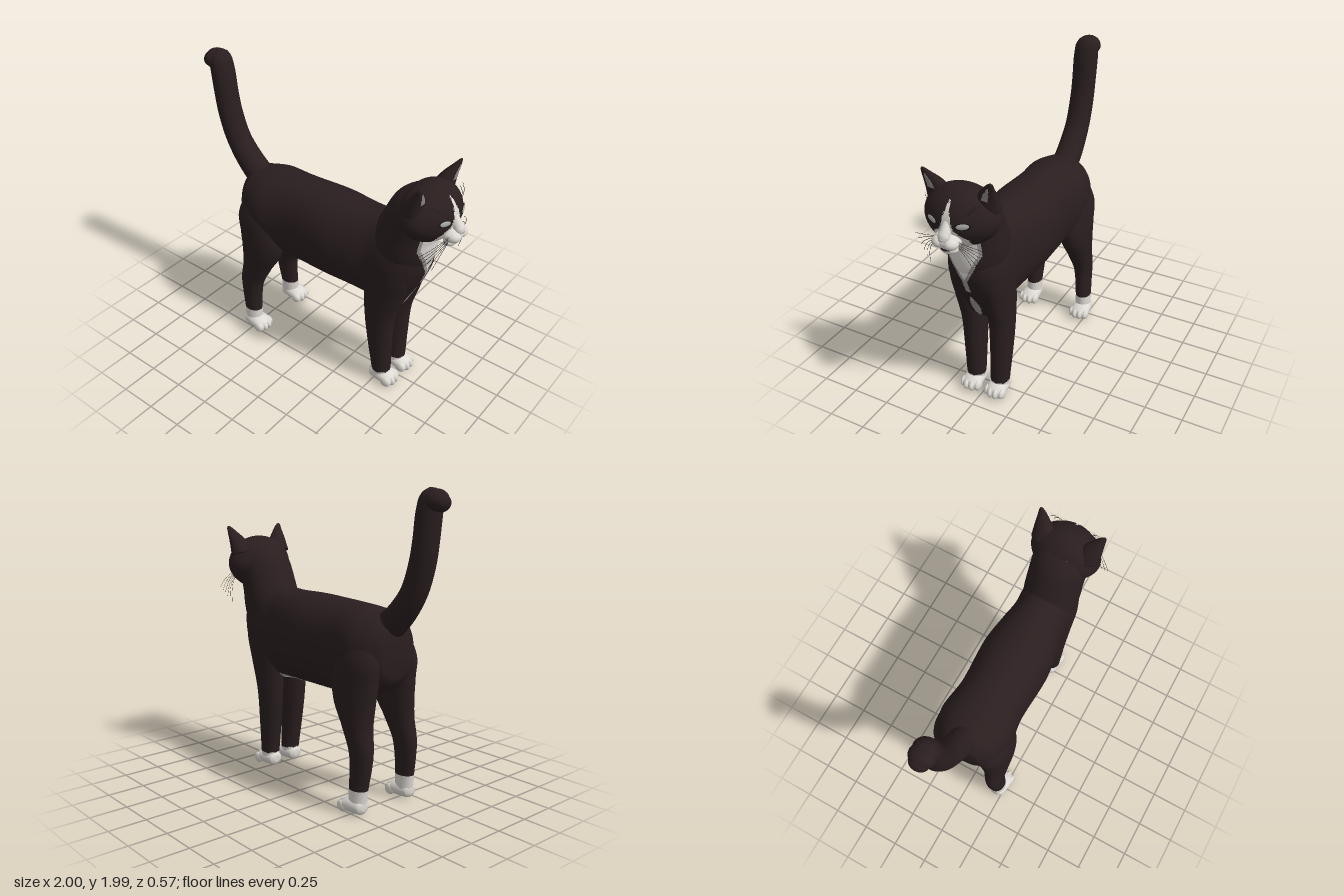
import * as THREE from 'three';
import { mergeVertices } from 'three/addons/utils/BufferGeometryUtils.js';

const mat = (name, color) => {
  const m = new THREE.MeshStandardMaterial({ color });
  m.name = name;
  return m;
};

export function createModel() {
  const cat = new THREE.Group();
  cat.name = 'cat';
  const fur = mat('dark fur', 0x2a1e1f), white = mat('white fur', 0xdcd8d2), grey = mat('grey fur', 0x9c9794);
  const eyeMat = mat('eye', 0xa9aaa2), earMat = mat('inner ear', 0x8f8885);
  const noseMat = mat('nose', 0xb9aaa6), darkMat = mat('mouth and whiskers', 0x1c1818);
  const coat = [fur, white, grey];

  const add = (name, geo, material) => {
    const m = new THREE.Mesh(geo, material);
    m.name = name;
    cat.add(m);
    return m;
  };

  // Sort triangles into material groups by a rule on their centres
  const paint = (geo, rule) => {
    const p = geo.attributes.position, idx = geo.index.array, sets = [[], [], []];
    for (let i = 0; i < idx.length; i += 3) {
      const t = [idx[i], idx[i + 1], idx[i + 2]];
      const c = ['getX', 'getY', 'getZ'].map(g => t.reduce((s, k) => s + p[g](k), 0) / 3);
      sets[Number(rule(...c))].push(...t);
    }
    geo.setIndex(sets.flat());
    geo.clearGroups();
    let start = 0;
    sets.forEach((set, i) => {
      if (set.length) geo.addGroup(start, set.length, i);
      start += set.length;
    });
    return geo;
  };

  // Smooth skin over sections [x, y, z, half width in z, half depth in the xy plane];
  // sections follow the path unless a fixed axis is given
  const loft = (sections, rings, sides, axis = null, pow = 1) => {
    const path = new THREE.CatmullRomCurve3(sections.map(s => new THREE.Vector3(s[0], s[1], s[2])));
    const size = new THREE.CatmullRomCurve3(sections.map(s => new THREE.Vector3(s[3], s[4], 0)));
    const pos = [], idx = [];
    const bend = v => Math.sign(v) * Math.abs(v) ** pow;
    for (let i = -1; i <= rings + 1; i++) {
      const t = Math.min(Math.max(i / rings, 0), 1);
      const c = path.getPoint(t), r = size.getPoint(t), d = axis || path.getTangent(t);
      const len = Math.hypot(d.x, d.y), cap = i < 0 || i > rings ? 0 : 1;
      for (let j = 0; j < sides; j++) {
        const a = j / sides * Math.PI * 2;
        const h = cap * r.y * bend(Math.sin(a)), w = cap * r.x * bend(Math.cos(a));
        pos.push(c.x - d.y / len * h, c.y + d.x / len * h, c.z + w);
      }
    }
    for (let i = 0; i < rings + 2; i++) for (let j = 0; j < sides; j++) {
      const a = i * sides + j, b = i * sides + (j + 1) % sides;
      idx.push(a, a + sides, b, b, a + sides, b + sides);
    }
    const g = new THREE.BufferGeometry();
    g.setAttribute('position', new THREE.Float32BufferAttribute(pos, 3));
    g.setIndex(idx);
    g.computeVertexNormals();
    return g;
  };
  const alongX = new THREE.Vector3(1, 0, 0), down = new THREE.Vector3(0, -1, 0);

  const ball = (name, c, r, material) => {
    const m = add(name, new THREE.SphereGeometry(1, 20, 14), material);
    m.position.set(...c);
    m.scale.set(...r);
    return m;
  };

  // White bib with grey fringe, grey chest strip and pale belly
  const bib = (x, y, z) => {
    const w = Math.abs(z);
    if (y > 0.98) {
      const edge = Math.min(0.125, 0.02 + (y - 0.98) * 0.5);
      if (x < 0.67 || w > edge) return 0;
      return w > edge - 0.022 ? 2 : 1;
    }
    if (y > 0.88) return x > 0.6 && w < 0.018 ? 2 : 0;
    return x > 0.55 && y > 0.61 && y < 0.84 && w < 0.032 * Math.sin((y - 0.61) / 0.23 * Math.PI) ? 2 : 0;
  };
  const belly = (x, y, z) => {
    const w = Math.abs(z);
    if (x < -0.26 || x > 0.4 || y > 0.8 || w > 0.11) return 0;
    return w > 0.085 ? 2 : 1;
  };

  // Torso: [x, top, bottom, half width]
  const torso = [
    [-0.652, 1.1, 0.96, 0.04], [-0.63, 1.18, 0.84, 0.14], [-0.56, 1.235, 0.75, 0.21],
    [-0.42, 1.265, 0.71, 0.25], [-0.2, 1.28, 0.68, 0.225], [0.08, 1.288, 0.68, 0.238],
    [0.3, 1.285, 0.67, 0.212], [0.42, 1.295, 0.65, 0.19], [0.54, 1.31, 0.61, 0.195],
    [0.61, 1.3, 0.63, 0.192], [0.67, 1.27, 0.74, 0.175], [0.73, 1.23, 0.86, 0.14],
    [0.77, 1.17, 0.96, 0.09], [0.785, 1.1, 1.02, 0.03],
  ].map(([x, t, b, w]) => [x, (t + b) / 2, 0, w, (t - b) / 2]);
  add('torso', paint(loft(torso, 150, 104, alongX, 0.92), (x, y, z) => bib(x, y, z) || belly(x, y, z)), coat);
  ball('bellyTuft', [-0.215, 0.69, 0], [0.07, 0.045, 0.06], white);

  // Neck
  add('neck', paint(loft([
    [0.52, 0.98, 0, 0.15, 0.18], [0.595, 1.13, 0, 0.185, 0.21], [0.64, 1.28, 0, 0.185, 0.185],
    [0.685, 1.4, 0, 0.183, 0.168], [0.74, 1.48, 0, 0.17, 0.135],
  ], 90, 104), bib), coat);

  // Tail with a bent tip
  add('tail', loft([
    [-0.53, 1.13, 0, 0.09, 0.1], [-0.66, 1.25, 0, 0.088, 0.088], [-0.76, 1.39, 0, 0.083, 0.08],
    [-0.82, 1.56, 0, 0.082, 0.078], [-0.845, 1.7, 0, 0.082, 0.075], [-0.86, 1.83, 0, 0.084, 0.073],
    [-0.875, 1.92, 0, 0.08, 0.068], [-0.882, 1.965, 0, 0.06, 0.05], [-0.886, 1.99, 0, 0.025, 0.02],
  ], 50, 36), fur);
  ball('tailTip', [-0.915, 1.922, 0], [0.068, 0.066, 0.08], fur);
  ball('tailTip', [-0.95, 1.91, 0], [0.05, 0.052, 0.062], fur);

  // Legs and paws
  const paw = (name, x, z) => {
    add(name, loft([
      [x - 0.1, 0.055, z, 0.025, 0.025], [x - 0.085, 0.052, z, 0.05, 0.046], [x - 0.02, 0.054, z, 0.066, 0.054],
      [x + 0.04, 0.048, z, 0.069, 0.047], [x + 0.08, 0.038, z, 0.056, 0.032], [x + 0.09, 0.034, z, 0.03, 0.015],
    ], 24, 28, alongX), white);
    [-0.053, -0.019, 0.019, 0.053].forEach((dz, i) => {
      const out = i === 1 || i === 2 ? 0.066 : 0.048;
      ball(name + 'Toe', [x + out, 0.038, z + dz], [0.04, 0.037, 0.021], white);
    });
  };
  // Leg sections: y, x, z, half width, half depth
  const front = [
    [1.12, 0.57, 0.09, 0.07, 0.1], [0.95, 0.57, 0.105, 0.087, 0.155], [0.75, 0.535, 0.103, 0.084, 0.14],
    [0.55, 0.513, 0.1, 0.078, 0.107], [0.3, 0.522, 0.095, 0.07, 0.084], [0.12, 0.535, 0.09, 0.064, 0.067],
    [0.03, 0.538, 0.09, 0.06, 0.06],
  ];
  const back = [
    [1.15, -0.46, 0.1, 0.05, 0.07], [1.05, -0.46, 0.13, 0.1, 0.14], [0.93, -0.455, 0.155, 0.11, 0.172],
    [0.8, -0.435, 0.162, 0.108, 0.175], [0.68, -0.442, 0.17, 0.098, 0.157], [0.55, -0.478, 0.18, 0.08, 0.117],
    [0.4, -0.525, 0.19, 0.063, 0.092], [0.3, -0.53, 0.195, 0.057, 0.08], [0.16, -0.52, 0.203, 0.054, 0.068],
    [0.03, -0.515, 0.207, 0.055, 0.062],
  ];
  for (const [s, side] of [[1, 'left'], [-1, 'right']]) {
    const sections = list => list.map(([y, x, z, w, d]) => [x, y, z * s, w, d]);
    const sock = top => (x, y, z) => y < top + 0.004 * Math.sin(z * 150);
    add(side + 'FrontLeg', paint(loft(sections(front), 90, 36, down), sock(0.1)), coat);
    add(side + 'BackLeg', paint(loft(sections(back), 90, 36, down), sock(0.16)), coat);
    paw(side + 'FrontPaw', 0.56, 0.09 * s);
    paw(side + 'BackPaw', -0.48, 0.21 * s);
  }

  // Head: a sphere with full cheeks, narrowed toward chin and face
  const C = [0.765, 1.435], R = [0.175, 0.185, 0.238];
  const narrow = (nx, ny) => 1 - (ny < 0 ? 0.12 * ny * ny : 0.06 * ny) - 0.1 * Math.max(nx, 0);
  let head = new THREE.SphereGeometry(1, 96, 72);
  const hp = head.attributes.position;
  for (let i = 0; i < hp.count; i++) {
    const x = hp.getX(i), y = hp.getY(i), z = hp.getZ(i);
    hp.setXYZ(i, C[0] + R[0] * x, C[1] + R[1] * y, R[2] * z * narrow(x, y));
  }
  head.deleteAttribute('uv');
  head.deleteAttribute('normal');
  head = mergeVertices(head, 1e-5);
  head.computeVertexNormals();
  add('head', paint(head, (x, y, z) => {
    const w = Math.abs(z);
    if (y > 1.42) return x > 0.8 && w < 0.008 + (1.555 - y) * 0.24;
    return x > 0.79 && w < Math.min(0.118, 0.042 + (1.42 - y) * 1.2);
  }), coat);

  // Muzzle
  add('noseBridge', loft([
    [0.88, 1.49, 0, 0.02, 0.03], [0.925, 1.43, 0, 0.03, 0.036], [0.962, 1.385, 0, 0.036, 0.034], [0.982, 1.362, 0, 0.022, 0.018],
  ], 16, 20), white);
  ball('muzzle', [0.925, 1.348, 0], [0.064, 0.052, 0.085], white);
  ball('nose', [0.984, 1.376, 0], [0.015, 0.01, 0.018], noseMat);
  ball('chin', [0.915, 1.29, 0], [0.042, 0.034, 0.06], white);
  ball('mouth', [0.945, 1.3, 0], [0.022, 0.013, 0.034], darkMat);

  for (const [s, side] of [[1, 'left'], [-1, 'right']]) {
    ball(side + 'MuzzlePad', [0.945, 1.344, 0.036 * s], [0.05, 0.038, 0.046], white);

    // Eyes lie on the face surface, tilted up at the outer corner
    const ey = 1.452, ez = 0.098, ny = (ey - C[1]) / R[1], nz = ez / (R[2] * 0.91);
    const nx = Math.sqrt(1 - ny * ny - nz * nz);
    const normal = new THREE.Vector3(nx / R[0], ny / R[1], s * nz / R[2]).normalize();
    for (const [name, grow, depth, m] of [['EyeRim', 1.2, 0.005, darkMat], ['Eye', 1, 0.008, eyeMat]]) {
      const e = ball(side + name, [C[0] + R[0] * nx, ey, ez * s], [0.042 * grow, 0.019 * grow, depth], m);
      e.lookAt(e.position.clone().add(normal));
      e.rotateZ(-0.15 * s);
    }

    // Ears with a pale inner face
    const ear = loft([
      [0.74, 1.5, 0.15 * s, 0.085, 0.07], [0.77, 1.585, 0.169 * s, 0.064, 0.046],
      [0.797, 1.645, 0.193 * s, 0.038, 0.025], [0.812, 1.683, 0.211 * s, 0.019, 0.011], [0.816, 1.694, 0.216 * s, 0.008, 0.005],
    ], 50, 44);
    add(side + 'Ear', paint(ear, (x, y, z) => {
      const k = (y - 1.575) / 0.09;
      return k > 0 && k < 1 && x > 0.777 + (y - 1.6) * 0.45
        && Math.abs(Math.abs(z) - 0.17 - k * 0.032) < 0.022 * Math.sqrt(1 - k);
    }), [fur, earMat]);

    // Whiskers and brow hairs
    const hair = (name, a, b, c) => {
      const pts = [a, b, c].map(p => new THREE.Vector3(p[0], p[1], p[2] * s));
      add(name, new THREE.TubeGeometry(new THREE.QuadraticBezierCurve3(...pts), 10, 0.0013, 4), darkMat);
    };
    for (let i = 0; i < 6; i++) {
      const f = i / 5;
      hair(side + 'Whisker', [0.94, 1.36 - f * 0.04, 0.075],
        [0.935, 1.34 - f * 0.06, 0.17 - f * 0.04], [0.84 + f * 0.05, 1.27 - f * 0.13, 0.28 - f * 0.13]);
    }
    for (let i = 0; i < 2; i++) {
      hair(side + 'BrowHair', [0.89, 1.5, 0.09 + i * 0.015], [0.91, 1.54, 0.12 + i * 0.02], [0.86, 1.56 + i * 0.01, 0.15 + i * 0.025]);
    }
  }
  return cat;
}
